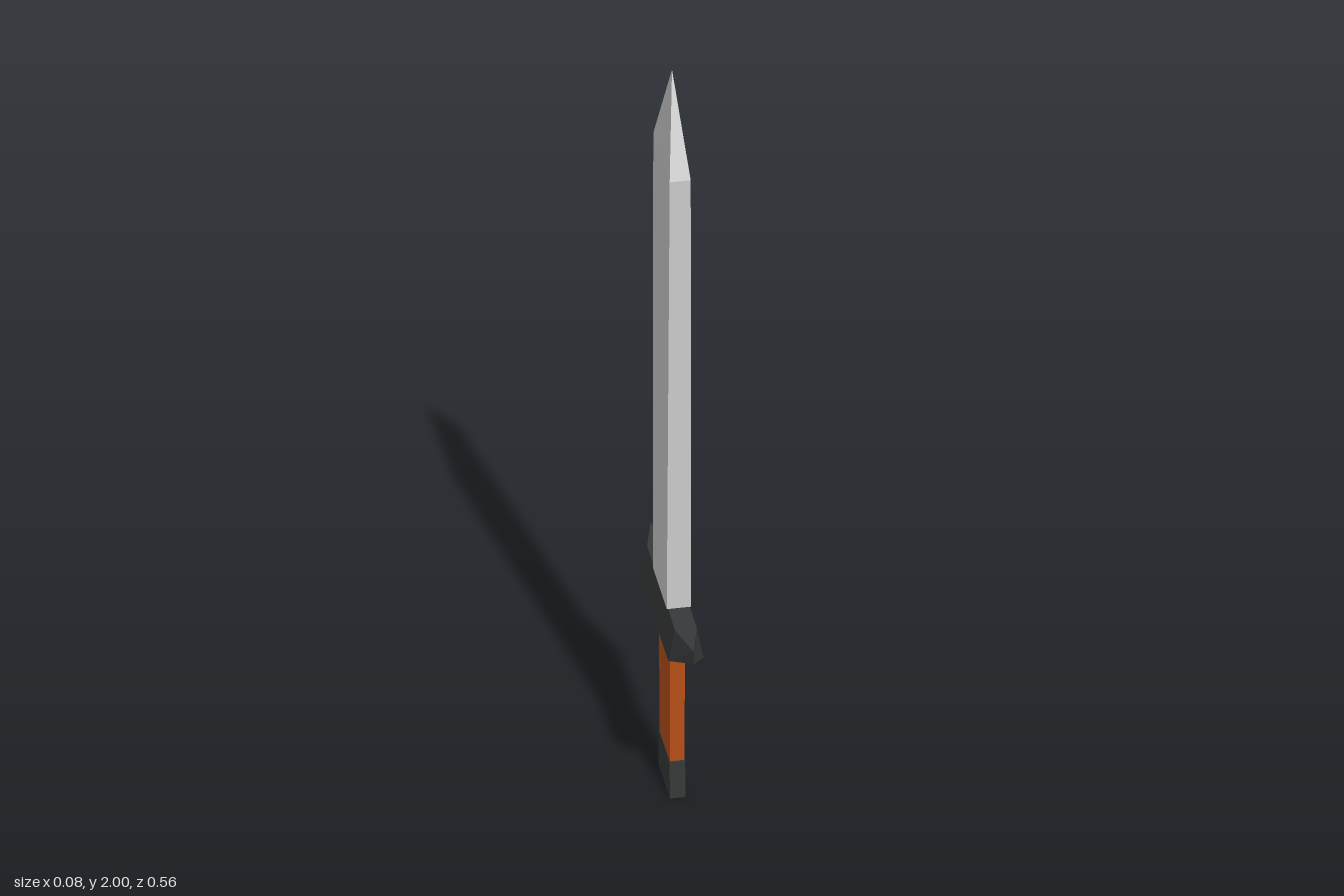
import * as THREE from 'three';

const steel = new THREE.MeshStandardMaterial({ color: 0xcccccc, flatShading: true });
const iron = new THREE.MeshStandardMaterial({ color: 0x363939, flatShading: true });
const leather = new THREE.MeshStandardMaterial({ color: 0xb94f1a, flatShading: true });

// Rectangular section, counter-clockwise from above
const rect = (y, hx, hz) => [[hx, y, hz], [hx, y, -hz], [-hx, y, -hz], [-hx, y, hz]];

// Six-sided section with pointed ends; the points may sit at another height
const pointed = (y, hx, hz, tipY, tipZ) => {
  const [a, b, c, d] = rect(y, hx, hz);
  return [[0, tipY, tipZ], a, b, [0, tipY, -tipZ], c, d];
};

// Joins sections from bottom to top; a section of one point forms an apex
function loft(name, sections, material, caps = { bottom: true, top: true }) {
  const pos = [];
  const tri = (a, b, c) => pos.push(...a, ...b, ...c);

  for (let s = 0; s < sections.length - 1; s++) {
    const low = sections[s], high = sections[s + 1], n = low.length;
    for (let i = 0; i < n; i++) {
      const j = (i + 1) % n;
      if (high.length === 1) {
        tri(low[i], low[j], high[0]);
      } else {
        tri(low[i], low[j], high[j]);
        tri(low[i], high[j], high[i]);
      }
    }
  }

  // Zigzag caps keep folded end faces symmetric
  const cap = (ring, flip) => {
    const face = (a, b, c) => (flip ? tri(ring[a], ring[c], ring[b]) : tri(ring[a], ring[b], ring[c]));
    let l = 1, r = ring.length - 1;
    face(0, l, r);
    while (r - l > 1) {
      face(r, l, l + 1);
      l++;
      if (r - l > 1) {
        face(r, l, r - 1);
        r--;
      }
    }
  };
  const last = sections[sections.length - 1];
  if (caps.bottom) cap(sections[0], true);
  if (caps.top && last.length > 1) cap(last, false);

  const geometry = new THREE.BufferGeometry();
  geometry.setAttribute('position', new THREE.Float32BufferAttribute(pos, 3));
  geometry.computeVertexNormals();
  const mesh = new THREE.Mesh(geometry, material);
  mesh.name = name;
  return mesh;
}

export function createModel() {
  const sword = new THREE.Group();
  sword.name = 'sword';

  // Blade widens slightly towards the pyramid point
  sword.add(loft('blade', [
    rect(0.545, 0.029, 0.09),
    rect(1.755, 0.025, 0.106),
    [[0, 2, 0]],
  ], steel));

  // Crossguard with upswept pointed ends
  sword.add(loft('crossguard', [
    pointed(0.46, 0.042, 0.18, 0.51, 0.278),
    pointed(0.545, 0.026, 0.18, 0.545, 0.278),
  ], iron));

  // Grip, whose end shows through the pommel band
  sword.add(loft('grip', [
    rect(0, 0.017, 0.068),
    rect(0.1, 0.017, 0.066),
    rect(0.46, 0.018, 0.074),
  ], leather));

  // Pommel band
  sword.add(loft('pommelBand', [
    rect(0, 0.0185, 0.073),
    rect(0.1, 0.0185, 0.07),
  ], iron, { bottom: false, top: true }));

  // Thin underside closing the band in the grip colour
  sword.add(loft('gripEnd', [
    rect(0, 0.0185, 0.073),
    rect(0.002, 0.017, 0.068),
  ], leather));

  return sword;
}
